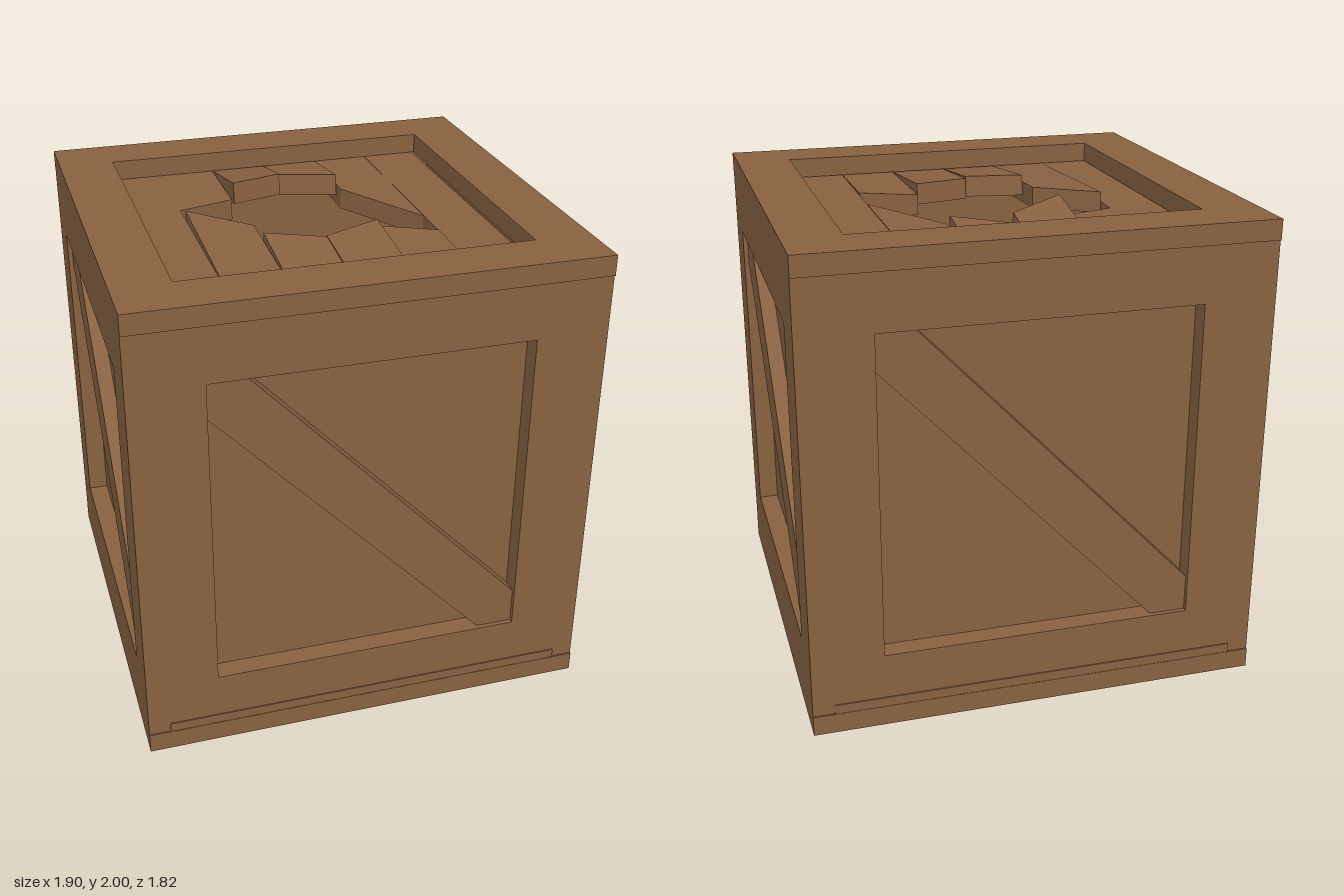
import * as THREE from 'three';

const wood = new THREE.MeshStandardMaterial({ color: 0x886241 });
wood.name = 'brownWood';

const T = 0.085;      // frame thickness, also the recess depth
const INSET = 0.02;   // how far the braces sit behind the frame face

function toShape(points) {
  return new THREE.Shape(points.map(([x, y]) => new THREE.Vector2(x, y)));
}

function slab(name, shape, depth) {
  const geo = new THREE.ExtrudeGeometry(shape, { depth, bevelEnabled: false });
  const mesh = new THREE.Mesh(geo, wood);
  mesh.name = name;
  return mesh;
}

const rect = (a, b) => [[-a, -b], [a, -b], [a, b], [-a, b]];

// One crate face: outer face at local z = 0, outward is +z.
// W, H are half sizes of the frame; w, h are half sizes of its opening.
function crateFace(name, W, H, w, h, closed = true) {
  const face = new THREE.Group();
  face.name = name;

  const outline = toShape(rect(W, H));
  outline.holes.push(new THREE.Path(rect(w, h).reverse().map(([x, y]) => new THREE.Vector2(x, y))));
  const frame = slab('frame', outline, T);
  frame.position.z = -T;
  face.add(frame);

  if (closed) {
    // recessed board behind the frame
    const panel = new THREE.Mesh(new THREE.BoxGeometry(Math.min(W, 0.86) * 2, Math.min(H, 0.91) * 2, 0.04), wood);
    panel.name = 'panel';
    panel.position.z = -T - 0.02;
    face.add(panel);

    // diagonal brace from top left to bottom right
    const c = 0.155;
    const brace = slab('diagonalBrace', toShape([
      [-w, h], [-w, h - c], [w - c, -h], [w, -h], [w, -h + c], [-w + c, h],
    ]), T - INSET);
    brace.position.z = -T;
    face.add(brace);
  }
  return face;
}

// Lid plank given as [x, z] corners, hinged at z = hinge and lifted by degrees.
function lidPlank(name, corners, hinge = 0, degrees = 0) {
  const mesh = slab(name, toShape(corners.map(([x, z]) => [x, hinge - z])), 0.09);
  mesh.geometry.rotateX(-Math.PI / 2);
  mesh.geometry.translate(0, -0.09, 0);
  mesh.position.set(0, 1.912, hinge);
  mesh.rotation.x = THREE.MathUtils.degToRad(degrees) * Math.sign(hinge);
  return mesh;
}

export function createModel() {
  const crate = new THREE.Group();
  crate.name = 'brokenCrate';

  // four upright sides
  for (let i = 0; i < 4; i++) {
    const wide = i % 2 === 0;
    const name = ['frontSide', 'leftSide', 'backSide', 'rightSide'][i];
    const side = wide
      ? crateFace(name, 0.95, 1 - T, 0.65, 0.68)
      : crateFace(name, 0.905 - T, 1 - T, 0.68, 0.68);
    const d = wide ? 0.905 : 0.95;
    const a = i * Math.PI / 2;
    side.rotation.y = a;
    side.position.set(Math.sin(a) * d, 1, Math.cos(a) * d);
    crate.add(side);
  }

  // bottom and open lid frame, slightly proud of the sides
  const bottom = crateFace('bottom', 0.95, 0.912, 0.7, 0.685);
  bottom.rotation.x = Math.PI / 2;
  crate.add(bottom);

  const lid = crateFace('lid', 0.95, 0.912, 0.715, 0.685, false);
  lid.rotation.x = -Math.PI / 2;
  lid.position.y = 2;
  crate.add(lid);

  // lid planks: two whole ones at the edges
  const planks = new THREE.Group();
  planks.name = 'lidPlanks';
  const E = 0.78;
  for (const [x0, x1] of [[-0.72, -0.503], [0.472, 0.707]]) {
    planks.add(lidPlank('wholePlank', [[x0, E], [x1, E], [x1, -E], [x0, -E]]));
  }

  // snapped planks: x0, x1, back break z at x0 and x1, back lift,
  // front break z at x0 and x1, front lift
  const snapped = [
    [-0.503, -0.262, -0.235, -0.305, 0, -0.12, 0.09, 3],
    [-0.26, -0.02, -0.27, -0.41, 11.5, 0.235, 0.32, 7],
    [-0.015, 0.228, -0.48, -0.36, 8, 0.3, 0.21, 6],
    [0.232, 0.47, -0.3, 0.11, 0, 0.18, 0.29, 1],
  ];
  for (const [x0, x1, b0, b1, backLift, f0, f1, frontLift] of snapped) {
    planks.add(lidPlank('snappedBackPlank', [[x0, b0], [x1, b1], [x1, -E], [x0, -E]], -0.69, backLift));
    planks.add(lidPlank('snappedFrontPlank', [[x0, E], [x1, E], [x1, f1], [x0, f0]], 0.685, frontLift));
  }
  crate.add(planks);
  return crate;
}
